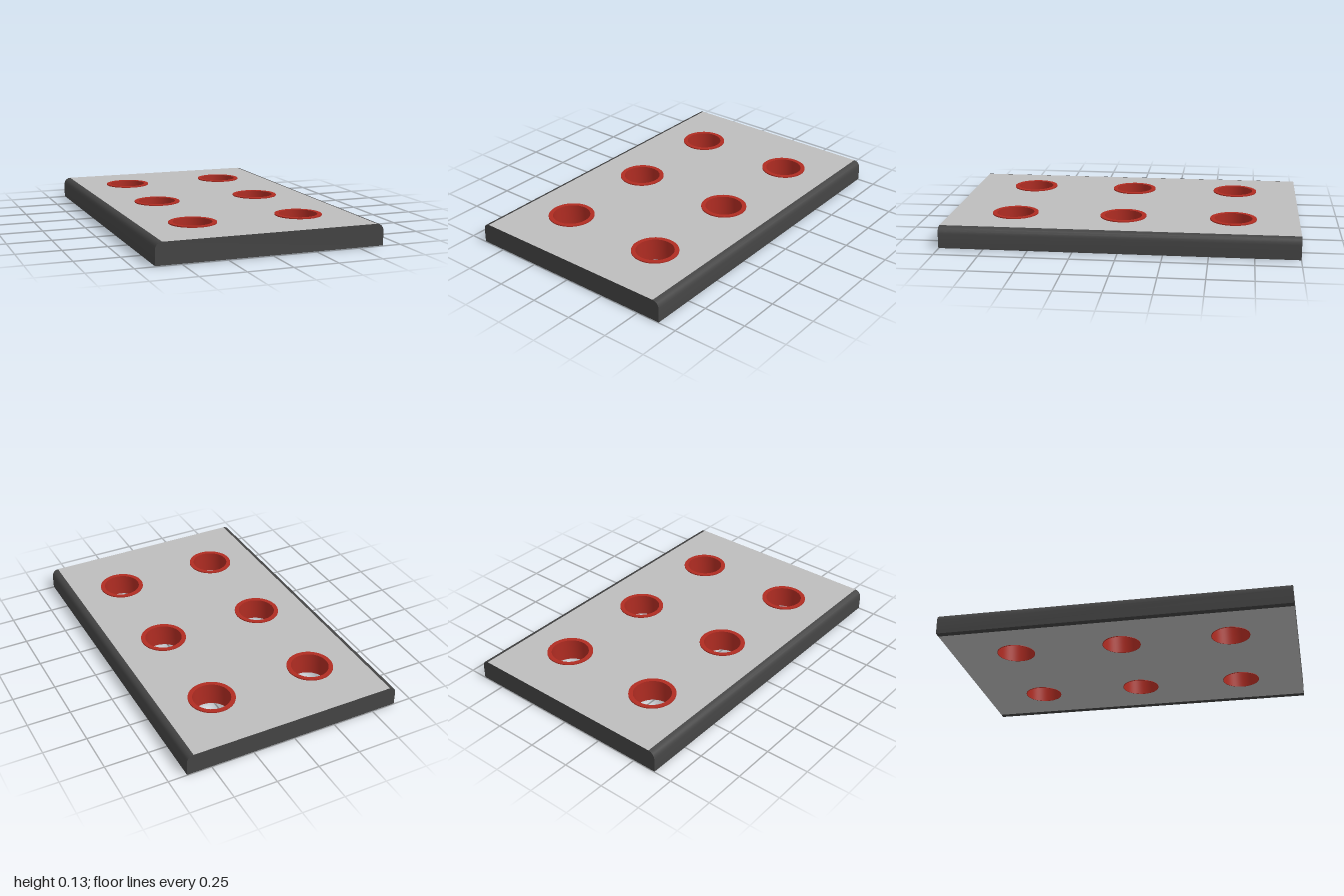
import * as THREE from 'three';
import { toCreasedNormals } from 'three/addons/utils/BufferGeometryUtils.js';

export function createModel() {
  const model = new THREE.Group();
  model.name = 'perforatedPlate';

  const material = (name, color) => {
    const m = new THREE.MeshStandardMaterial({ color });
    m.name = name;
    return m;
  };
  const lightGrey = material('lightGrey', 0xbdbdbd);
  const darkGrey = material('darkGrey', 0x444444);
  const red = material('red', 0xb02c22);

  const add = (name, geometry, mat) => {
    const mesh = new THREE.Mesh(geometry, mat);
    mesh.name = name;
    model.add(mesh);
    return mesh;
  };

  const halfWidth = 0.643, coreHalf = 0.604, bottom = 0.003, top = 0.125;
  const fillet = halfWidth - coreHalf;
  const holes = [];
  for (const x of [-0.312, 0.312]) for (const z of [-0.628, 0, 0.628]) holes.push([x, z]);

  // Core slab: light faces above and below, dark ends, six holes
  const slab = new THREE.Shape();
  slab.moveTo(-coreHalf, -1).lineTo(coreHalf, -1).lineTo(coreHalf, 1).lineTo(-coreHalf, 1).closePath();
  for (const [x, z] of holes) {
    slab.holes.push(new THREE.Path().absarc(x, -z, 0.109, 0, Math.PI * 2, true));
  }
  const core = new THREE.ExtrudeGeometry(slab, { depth: top - bottom, bevelEnabled: false, curveSegments: 32 });
  core.rotateX(-Math.PI / 2).translate(0, bottom, 0);
  add('slab', core, [lightGrey, darkGrey]);

  // Side rails with rounded upper edges
  for (const [name, s] of [['leftRail', 1], ['rightRail', -1]]) {
    const section = new THREE.Shape();
    section.moveTo(s * coreHalf, bottom).lineTo(s * halfWidth, bottom);
    for (let i = 0; i <= 4; i++) {
      const a = (i / 4) * Math.PI / 2;
      section.lineTo(s * (coreHalf + fillet * Math.cos(a)), top - fillet + fillet * Math.sin(a));
    }
    section.closePath();
    const rail = new THREE.ExtrudeGeometry(section, { depth: 2, bevelEnabled: false });
    rail.translate(0, 0, -1);
    add(name, toCreasedNormals(rail, 0.6), darkGrey);
  }

  // Flanged sleeves lining the holes
  const profile = [
    [0.107, 0], [0.11, 0], [0.11, top], [0.132, top], [0.132, 0.131], [0.107, 0.131], [0.107, 0],
  ].map(([r, y]) => new THREE.Vector2(r, y));
  const sleeve = toCreasedNormals(new THREE.LatheGeometry(profile, 48), 0.6);
  holes.forEach(([x, z], i) => {
    add(`sleeve${i + 1}`, sleeve, red).position.set(x, 0, z);
  });

  return model;
}
